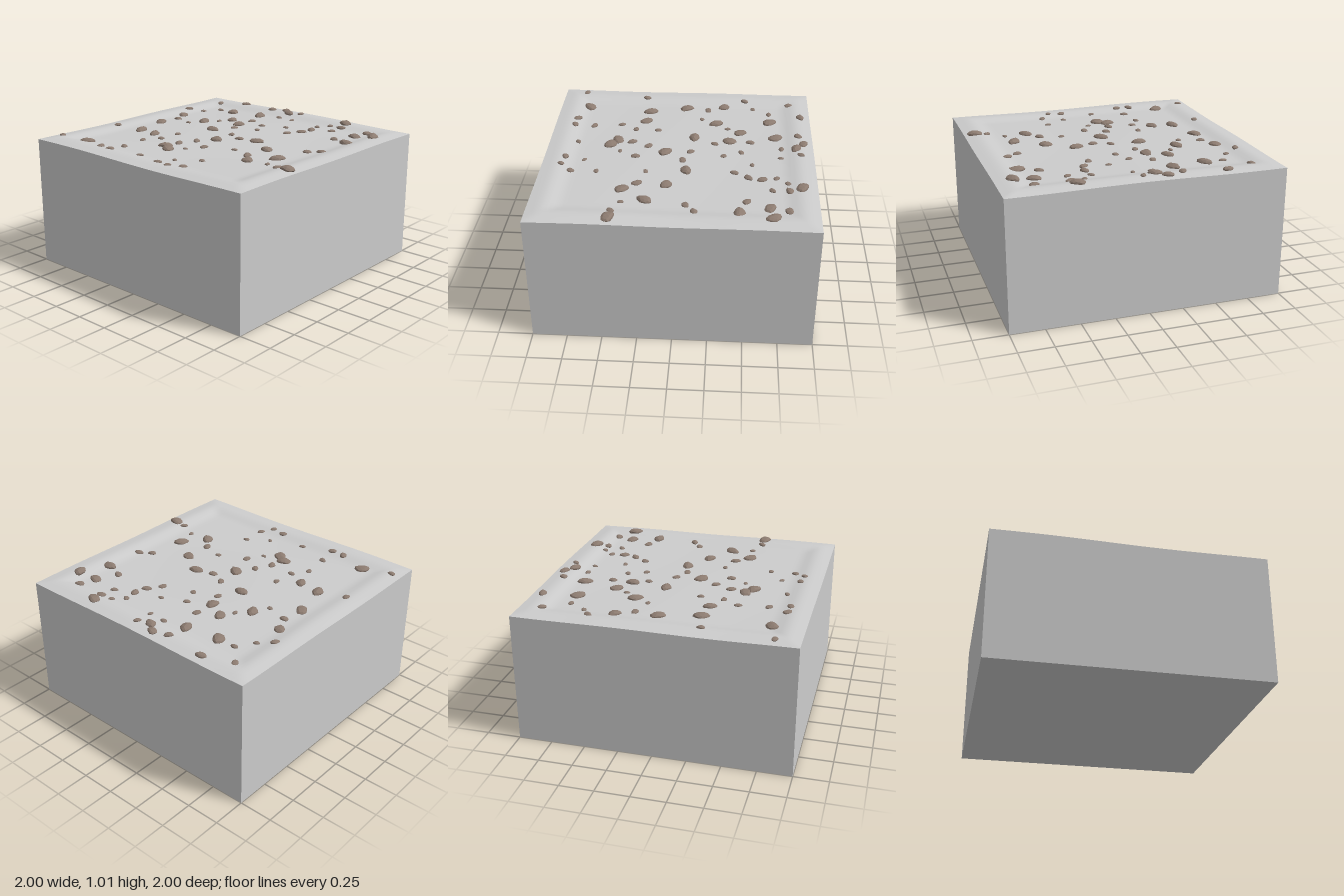
import * as THREE from 'three';

const stone = new THREE.MeshStandardMaterial({ color: 0xcccccc });
stone.name = 'pale grey ground';
const pebble = new THREE.MeshStandardMaterial({ color: 0x8c7b70, flatShading: true });
pebble.name = 'brown rock';

// Small seeded generator, 0 to 1
function seeded(seed) {
  return () => {
    seed = (seed * 16807) % 2147483647;
    return seed / 2147483647;
  };
}

// Ground height: low outer edge, a raised rim, then a shallow rolling floor
function groundHeight(x, z) {
  const d = 1 - Math.max(Math.abs(x), Math.abs(z));
  const { smoothstep, lerp } = THREE.MathUtils;
  const wave = 0.0032 * Math.sin(4.2 * x + 1.3 * z + 2.6) + 0.0024 * Math.sin(5.1 * z - 2.2 * x + 0.6);
  const y = d < 0.11
    ? lerp(0.966, 0.981, smoothstep(d, -0.03, 0.11))
    : lerp(0.981, 0.959, smoothstep(d, 0.11, 0.24));
  return y + wave;
}

// Faceted lump; coincident corners move together because the rule uses their position
function rockGeometry(seed) {
  const geometry = new THREE.IcosahedronGeometry(1, 1);
  const p = geometry.attributes.position;
  const v = new THREE.Vector3();
  for (let i = 0; i < p.count; i++) {
    v.fromBufferAttribute(p, i);
    const bump = Math.sin(v.x * 3.1 + seed) * Math.cos(v.y * 2.7 - seed * 2) + Math.sin(v.z * 4.3 + seed * 3);
    v.multiplyScalar(0.97 + 0.07 * bump);
    p.setXYZ(i, v.x, v.y, v.z);
  }
  geometry.computeVertexNormals();
  return geometry;
}

// Places of the largest rocks, x and z
const landmarks = [
  [-0.07, -0.87], [0.48, -0.89], [0.87, -0.68], [-0.33, -0.45], [-0.19, -0.37],
  [-0.47, -0.26], [-0.72, -0.02], [0.25, -0.06], [0, 0.11], [0.45, 0.07],
  [0.66, 0.21], [0.92, 0.43], [-0.48, 0.29], [0.53, 0.38], [-0.1, 0.53],
  [-0.65, 0.27], [0.72, -0.66], [-0.26, -0.72], [-0.52, -0.68], [-0.76, -0.32],
  [-0.23, -0.1], [-0.17, 0.48], [0.79, -0.45], [-0.7, 0.77],
];

export function createModel() {
  const model = new THREE.Group();
  model.name = 'rockyGroundBlock';

  // Block with a sculpted top
  const geometry = new THREE.BoxGeometry(2, 1, 2, 64, 1, 64).translate(0, 0.5, 0);
  const p = geometry.attributes.position;
  for (let i = 0; i < p.count; i++) {
    if (p.getY(i) > 0.5) p.setY(i, groundHeight(p.getX(i), p.getZ(i)));
  }
  geometry.computeVertexNormals();
  const ground = new THREE.Mesh(geometry, stone);
  ground.name = 'groundBlock';
  model.add(ground);

  // Rocks half sunk into the ground
  const random = seeded(4127);
  const shapes = [0.4, 1.7, 2.9, 4.1, 5.3].map(rockGeometry);
  const scatter = new THREE.Group();
  scatter.name = 'scatteredRocks';
  function addRock(name, x, z, length) {
    const rock = new THREE.Mesh(shapes[scatter.children.length % shapes.length], pebble);
    rock.name = name;
    rock.position.set(x, groundHeight(x, z) + 0.002, z);
    rock.rotation.y = random() * Math.PI;
    rock.scale.set(length / 2, length * 0.21, length * 0.36);
    scatter.add(rock);
  }
  for (const [x, z] of landmarks) addRock('largeRock', x, z, 0.105 + 0.02 * random());

  // Smaller rocks fill the free spots between the large ones
  while (scatter.children.length < 77) {
    const x = (random() * 2 - 1) * 0.94;
    const z = (random() * 2 - 1) * 0.94;
    const free = scatter.children.every((r) => Math.hypot(r.position.x - x, r.position.z - z) > 0.09);
    if (free) addRock('smallRock', x, z, 0.045 + 0.045 * random());
  }
  model.add(scatter);
  return model;
}
